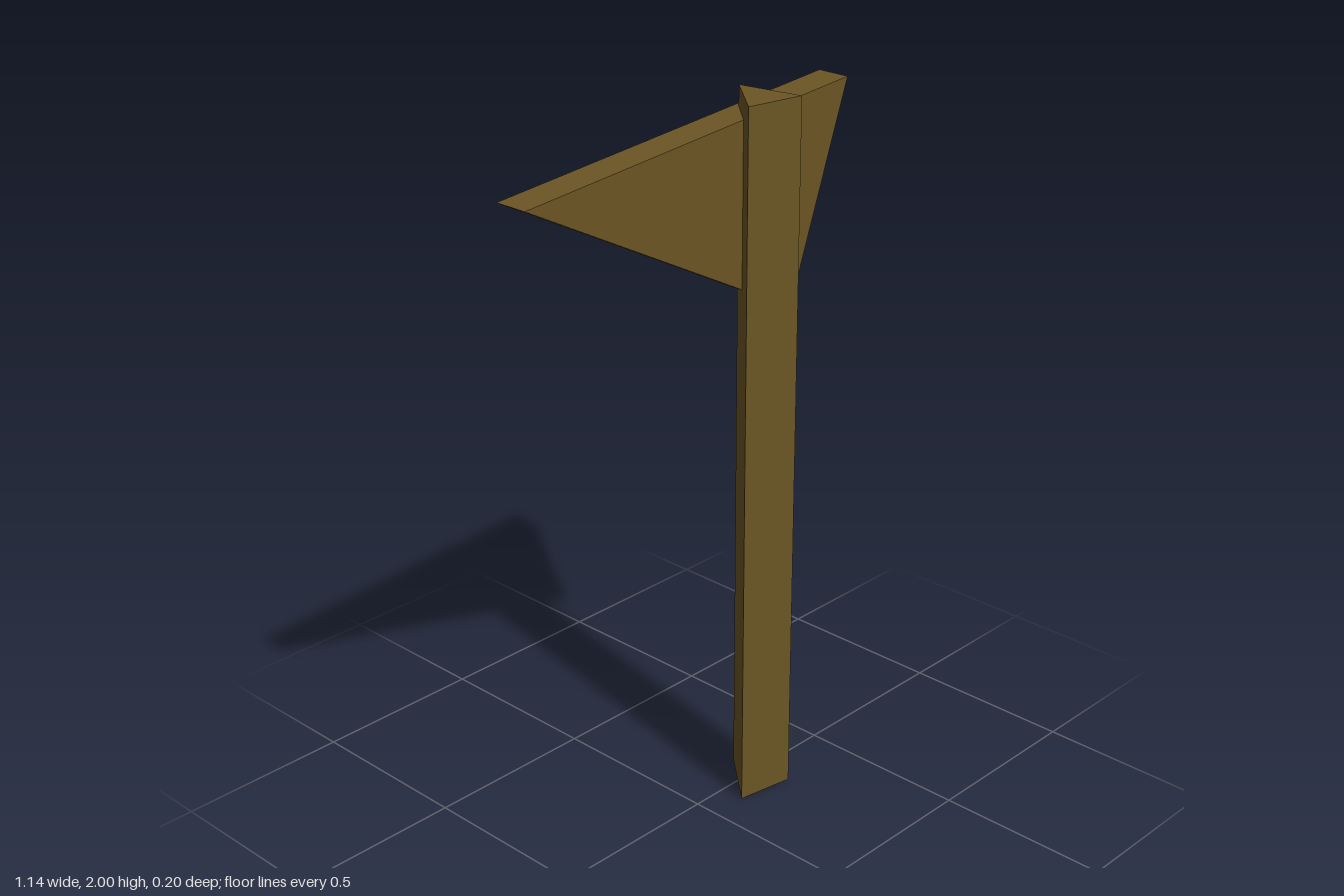
import * as THREE from 'three';

// Flat-sided prism from a triangular outline
function prism(name, points, depth, material) {
  const shape = new THREE.Shape(points.map(([x, y]) => new THREE.Vector2(x, y)));
  const geometry = new THREE.ExtrudeGeometry(shape, { depth, bevelEnabled: false });
  const mesh = new THREE.Mesh(geometry, material);
  mesh.name = name;
  return mesh;
}

export function createModel() {
  const model = new THREE.Group();
  model.name = 'signpost';

  const wood = new THREE.MeshStandardMaterial({ color: 0x6b5524 });
  wood.name = 'brown wood';

  // Three-sided upright post: outline is (x, -z), stood up along y
  const post = prism('post', [[0.105, -0.071], [0.27, -0.1], [0.238, 0.083]], 2, wood);
  post.rotation.x = -Math.PI / 2;
  model.add(post);

  // Triangular board behind the post, pointing to the right
  const board = prism('board', [[-0.57, 1.88], [0.36, 1.388], [0.57, 1.97]], 0.096, wood);
  board.position.z = -0.1;
  model.add(board);

  return model;
}
